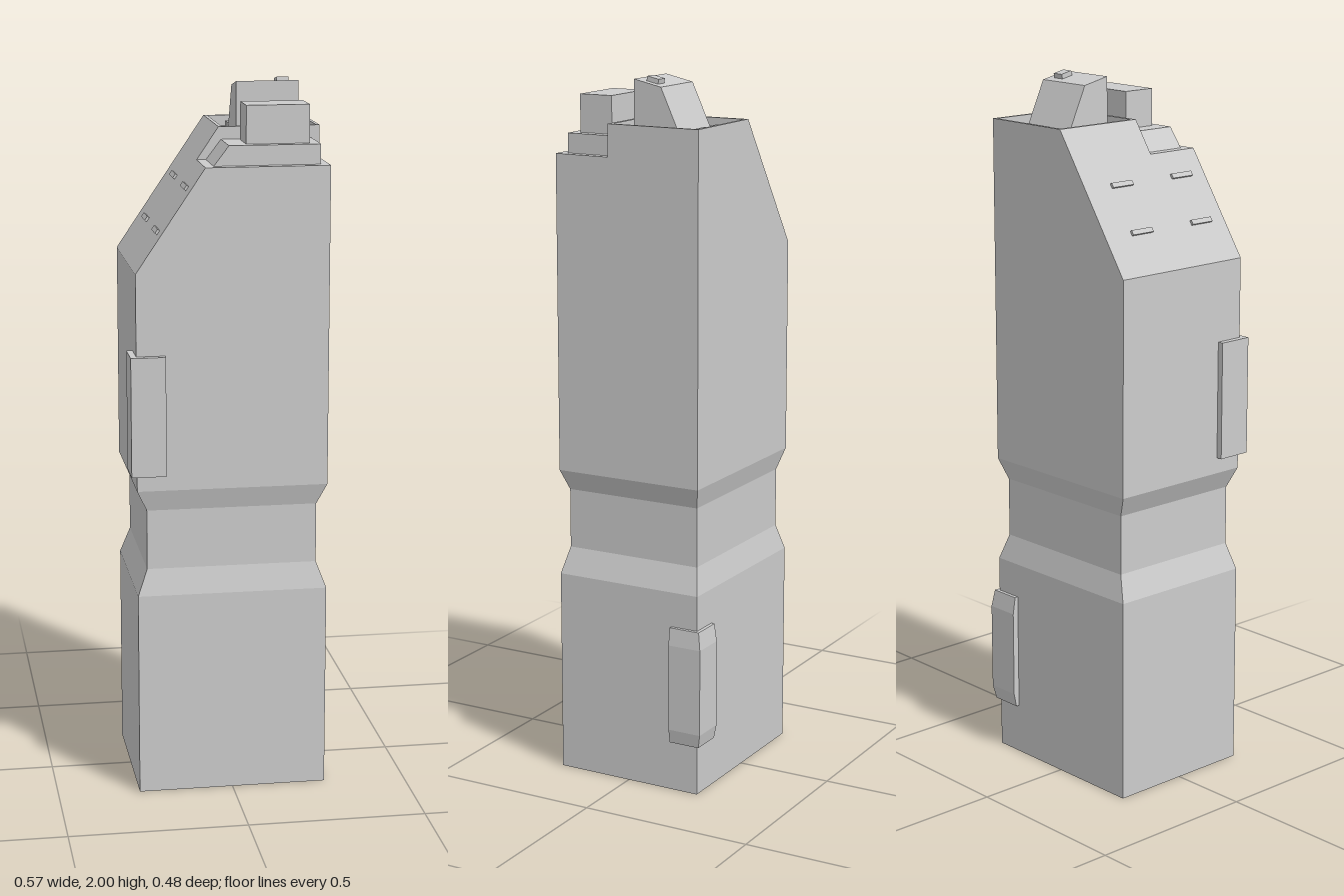
import * as THREE from 'three';

const material = new THREE.MeshStandardMaterial({ color: 0xcccccc, flatShading: true });

function add(group, name, geometry) {
  const mesh = new THREE.Mesh(geometry, material);
  mesh.name = name;
  group.add(mesh);
  return mesh;
}

// Box given by its limits
function box(x0, x1, y0, y1, z0, z1) {
  return new THREE.BoxGeometry(x1 - x0, y1 - y0, z1 - z0)
    .translate((x0 + x1) / 2, (y0 + y1) / 2, (z0 + z1) / 2);
}

// Front outline (x, y) extruded from z0 to z1
function slice(points, z0, z1) {
  const shape = new THREE.Shape(points.map(([x, y]) => new THREE.Vector2(x, y)));
  return new THREE.ExtrudeGeometry(shape, { depth: z1 - z0, bevelEnabled: false }).translate(0, 0, z0);
}

// Stack of rectangles [y, x0, x1, z0, z1], capped at both ends
function loft(rings) {
  const position = [], index = [];
  rings.forEach(([y, x0, x1, z0, z1]) => position.push(x0, y, z1, x1, y, z1, x1, y, z0, x0, y, z0));
  for (let r = 0; r < rings.length - 1; r++) {
    for (let i = 0; i < 4; i++) {
      const a = r * 4 + i, b = r * 4 + (i + 1) % 4;
      index.push(a, b, b + 4, a, b + 4, a + 4);
    }
  }
  const t = (rings.length - 1) * 4;
  index.push(0, 2, 1, 0, 3, 2, t, t + 1, t + 2, t, t + 2, t + 3);
  const geometry = new THREE.BufferGeometry();
  geometry.setAttribute('position', new THREE.Float32BufferAttribute(position, 3));
  geometry.setIndex(index);
  const flat = geometry.toNonIndexed();
  flat.computeVertexNormals();
  return flat;
}

export function createModel() {
  const model = new THREE.Group();
  model.name = 'tower';
  const W = 0.268, D = 0.222, roofY = 1.875, floorY = 1.845, ledgeY = 1.785;
  const slopeBase = 1.5, slope = (roofY - slopeBase) / (W - 0.015);
  const slopeX = (y) => -W + (y - slopeBase) / slope;

  // Lower block with the narrower waist
  const ring = (y, x, z) => [y, -x, x, -z, z];
  add(model, 'lowerBody', loft([
    ring(0, W, D), ring(0.585, W, D), ring(0.66, 0.24, 0.205),
    ring(0.83, 0.24, 0.205), ring(0.89, W, D),
  ]));

  // Upper block in slices: roof with a sunken floor, then a lower front step
  const outline = (y) => [[-W, 0.89], [W, 0.89], [W, y], [slopeX(y), y], [-W, slopeBase]];
  const sunken = [[-W, 0.89], [W, 0.89], [W, roofY], [0.259, roofY], [0.259, floorY],
    [-0.005, floorY], [-0.005, roofY], [slopeX(roofY), roofY], [-W, slopeBase]];
  add(model, 'upperBodyBackRim', slice(outline(roofY), -D, -0.213));
  add(model, 'upperBodySunkenRoof', slice(sunken, -0.213, 0.046));
  add(model, 'upperBodyInnerRim', slice(outline(roofY), 0.046, 0.057));
  add(model, 'upperBodyFrontStep', slice(outline(ledgeY), 0.057, D));

  // Front plinth with one slanted end, and the box on top of it
  add(model, 'frontPlinth', slice(
    [[-0.05, ledgeY], [0.245, ledgeY], [0.245, 1.84], [-0.008, 1.84]], 0.057, 0.197));
  add(model, 'frontRoofBox', box(0.043, 0.218, 1.84, 1.945, 0.073, 0.173));

  // Wedge-shaped roof housing; its profile runs along z
  const housing = slice([[-0.003, floorY], [0.14, floorY], [0.08, 1.975], [-0.003, 1.993]], 0.043, 0.218);
  add(model, 'roofHousing', housing.rotateY(Math.PI / 2));

  // Hatch tilted with the housing top
  const hatch = add(model, 'roofHatch', new THREE.BoxGeometry(0.034, 0.03, 0.036));
  hatch.position.set(0.178, 1.982, -0.04);
  hatch.rotation.x = -0.21;

  // Small units on the sunken floor
  add(model, 'smallRoofUnit', box(0.043, 0.077, floorY, 1.862, -0.19, -0.153));
  add(model, 'longRoofUnit', box(0.105, 0.204, floorY, 1.862, -0.19, -0.153));

  // Four thin fins on the slanted face
  for (const x of [-0.198, -0.118]) {
    for (const z of [-0.0915, 0.1325]) {
      const fin = add(model, 'slopeFin', new THREE.BoxGeometry(0.014, 0.014, 0.075));
      fin.position.set(x, slopeBase + (x + W) * slope, z);
      fin.rotation.z = Math.atan(slope);
    }
  }

  // Panels wrapped around two opposite corners
  add(model, 'frontCornerPanel', box(-0.285, -0.188, 0.935, 1.272, 0.138, 0.24));
  add(model, 'backCornerPanel', loft([
    [0.145, 0.186, 0.278, -0.232, -0.14], [0.185, 0.186, 0.285, -0.24, -0.14],
    [0.435, 0.186, 0.285, -0.24, -0.14], [0.485, 0.186, 0.278, -0.232, -0.14],
  ]));
  return model;
}
